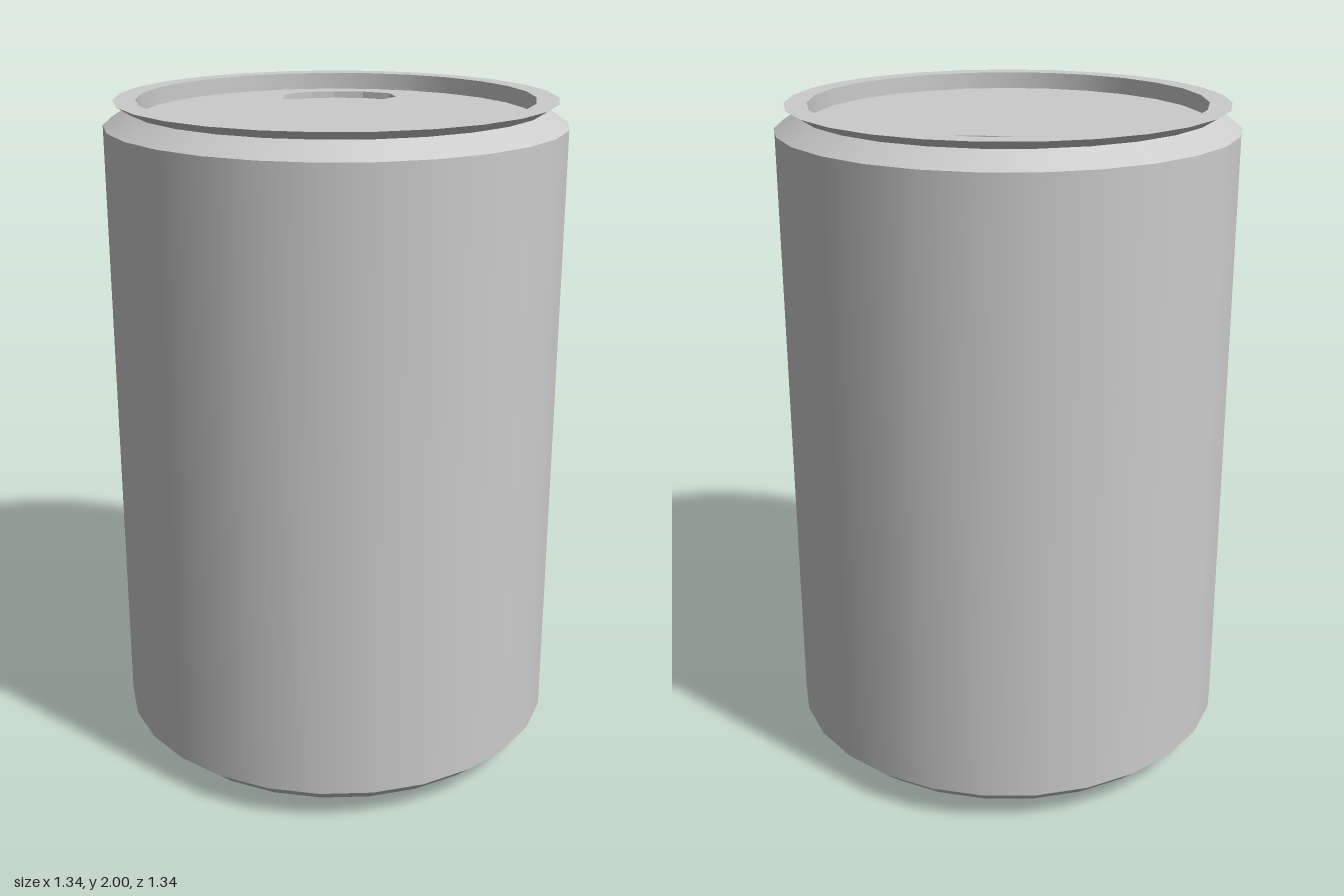
import * as THREE from 'three';

const SIDES = 27;
const LID_Y = 1.95, LID_R = 0.575, RECESS = 0.02;

export function createModel() {
  const can = new THREE.Group();
  can.name = 'can';
  const material = new THREE.MeshStandardMaterial({ color: 0xcccccc });

  const add = (name, geometry, y = 0) => {
    const mesh = new THREE.Mesh(geometry, material);
    mesh.name = name;
    mesh.position.y = y;
    can.add(mesh);
  };

  // Turned bands, each smooth in itself, with sharp edges where they meet
  const bands = {
    base: [[0, 0.1], [0.16, 0.09], [0.31, 0.05], [0.41, 0], [0.615, 0.05], [0.67, 0.1]],
    wall: [[0.67, 0.1], [0.67, 1.93]],
    shoulder: [[0.67, 1.93], [0.6, 1.975]],
    rimUnderside: [[0.6, 1.975], [0.64, 2]],
    rimTop: [[0.64, 2], [LID_R, 2]],
    rimInside: [[LID_R, 2], [LID_R, LID_Y]],
  };
  for (const [name, profile] of Object.entries(bands)) {
    const points = profile.map(([r, y]) => new THREE.Vector2(r, y));
    add(name, new THREE.LatheGeometry(points, SIDES, Math.PI));
  }

  // Lid plate with the drinking opening cut near the back edge
  const outline = [];
  for (let i = 0; i < SIDES; i++) {
    const a = Math.PI / 2 + (i / SIDES) * Math.PI * 2;
    outline.push(new THREE.Vector2(LID_R * Math.cos(a), LID_R * Math.sin(a)));
  }
  const opening = [
    [-0.15, 0.337], [-0.147, 0.42], [-0.118, 0.473], [-0.057, 0.495], [0.014, 0.505], [0.107, 0.495],
    [0.19, 0.45], [0.204, 0.373], [0.14, 0.294], [0.036, 0.283], [-0.093, 0.297],
  ].map(([x, y]) => new THREE.Vector2(x, y));

  const plate = new THREE.Shape(outline);
  plate.holes.push(new THREE.Path(opening));
  const lid = new THREE.ExtrudeGeometry(plate, { depth: RECESS, bevelEnabled: false });
  add('lid', lid.rotateX(-Math.PI / 2), LID_Y - RECESS);

  // Sunken floor of the opening
  const floor = new THREE.ShapeGeometry(new THREE.Shape(opening));
  add('openingFloor', floor.rotateX(-Math.PI / 2), LID_Y - RECESS);

  return can;
}
